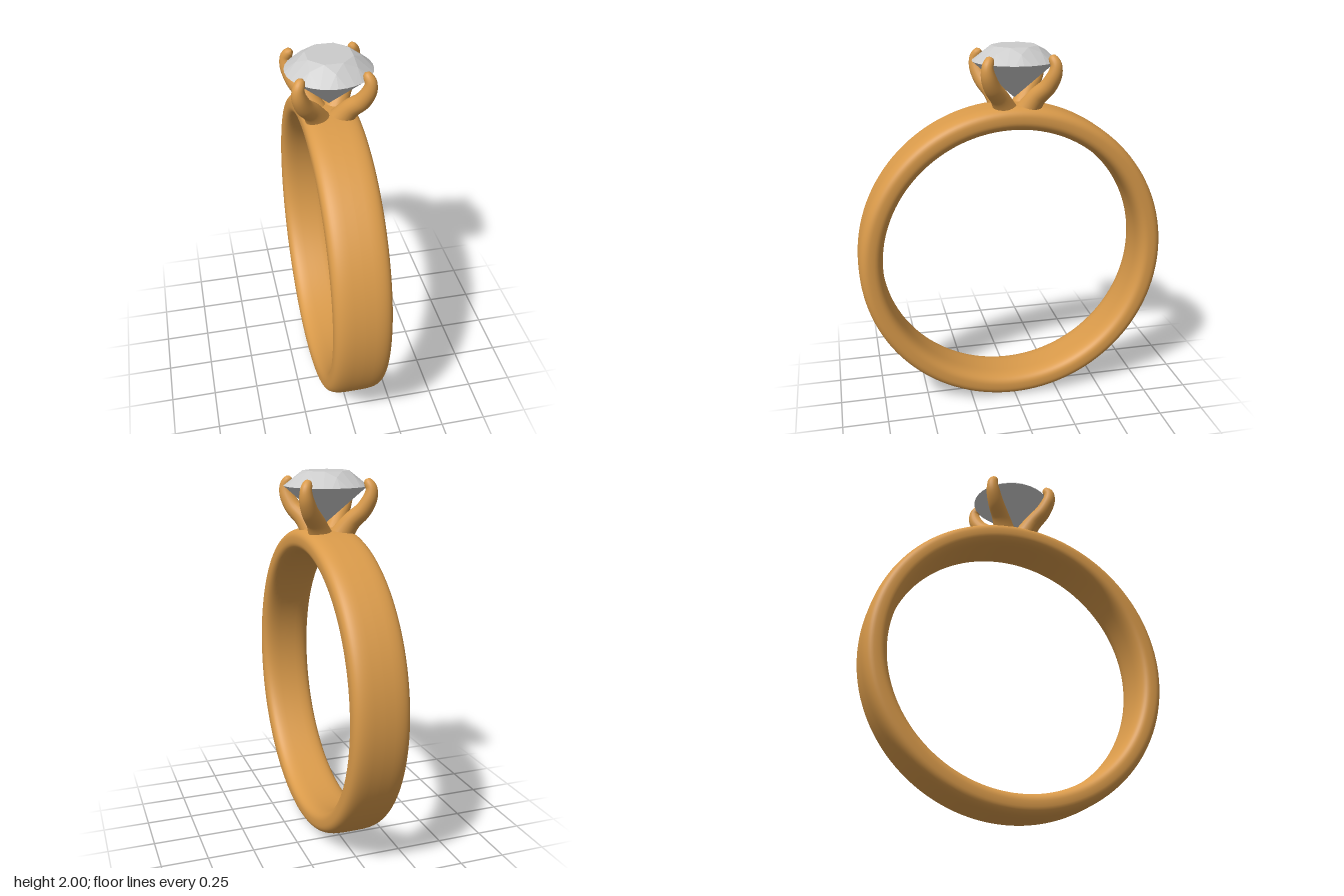
import * as THREE from 'three';
import { mergeVertices } from 'three/addons/utils/BufferGeometryUtils.js';
import { ConvexGeometry } from 'three/addons/geometries/ConvexGeometry.js';

const gold = new THREE.MeshStandardMaterial({ color: 0xd99a4a });
const clear = new THREE.MeshStandardMaterial({ color: 0xcccccc });

function named(name, geometry, material) {
  const mesh = new THREE.Mesh(geometry, material);
  mesh.name = name;
  return mesh;
}

// Band: a rounded-rectangle cross-section turned around the finger axis
function bandGeometry() {
  const soft = (v, p) => Math.sign(v) * Math.abs(v) ** p;
  const profile = [];
  for (let i = 0; i <= 48; i++) {
    const t = (i / 48) * Math.PI * 2;
    profile.push(new THREE.Vector2(0.785 + 0.065 * soft(Math.cos(t), 0.75), 0.147 * soft(Math.sin(t), 0.5)));
  }
  return new THREE.LatheGeometry(profile, 128).rotateZ(Math.PI / 2);
}

// Claw: a tube along a bowed path whose radius tapers to a rounded tip
function clawGeometry() {
  // [offset along x and z, height, radius]
  const stations = [
    [0.05, 1.64, 0.075], [0.07, 1.69, 0.06], [0.1, 1.745, 0.05], [0.143, 1.8, 0.045],
    [0.17, 1.86, 0.039], [0.177, 1.91, 0.031], [0.166, 1.94, 0.026], [0.156, 1.953, 0.018], [0.151, 1.959, 0.001],
  ];
  const path = new THREE.CatmullRomCurve3(stations.map(([d, y]) => new THREE.Vector3(d, y, d)), false, 'catmullrom');
  const radii = new THREE.SplineCurve(stations.map(([, , r], i) => new THREE.Vector2(i, r)));
  const steps = 48, sides = 20;
  const tube = new THREE.TubeGeometry(path, steps, 1, sides);
  const pos = tube.attributes.position, v = new THREE.Vector3();
  for (let i = 0; i <= steps; i++) {
    const centre = path.getPointAt(i / steps);
    const radius = Math.max(radii.getPoint(path.getUtoTmapping(i / steps)).y, 0.001);
    for (let j = 0; j <= sides; j++) {
      const k = i * (sides + 1) + j;
      v.fromBufferAttribute(pos, k).sub(centre).multiplyScalar(radius).add(centre);
      pos.setXYZ(k, v.x, v.y, v.z);
    }
  }
  tube.deleteAttribute('uv');
  tube.deleteAttribute('normal');
  const smooth = mergeVertices(tube, 1e-5);
  smooth.computeVertexNormals();
  return smooth;
}

// Gem: rings of facet corners wrapped in a convex hull
function gemGeometry() {
  const points = [new THREE.Vector3(0, 1.728, 0)];
  const ring = (count, radius, y, turn = 0) => {
    for (let i = 0; i < count; i++) {
      const a = ((i + turn) / count) * Math.PI * 2;
      points.push(new THREE.Vector3(radius * Math.cos(a), y, radius * Math.sin(a)));
    }
  };
  ring(8, 0.122, 2, 0.5); // table
  ring(8, 0.165, 1.972); // star facets
  ring(32, 0.222, 1.922); // girdle
  return new ConvexGeometry(points);
}

export function createModel() {
  const model = new THREE.Group();
  model.name = 'ring';

  const band = named('band', bandGeometry(), gold);
  band.position.y = 0.85;
  model.add(band);

  // Setting: four claws around the gem
  const setting = new THREE.Group();
  setting.name = 'setting';
  setting.position.set(-0.008, 0, -0.02);
  const claw = clawGeometry();
  for (let i = 0; i < 4; i++) {
    const mesh = named('claw', claw, gold);
    mesh.rotation.y = (i * Math.PI) / 2;
    setting.add(mesh);
  }
  model.add(setting);

  const gem = named('gem', gemGeometry(), clear);
  gem.position.z = -0.018;
  model.add(gem);
  return model;
}
